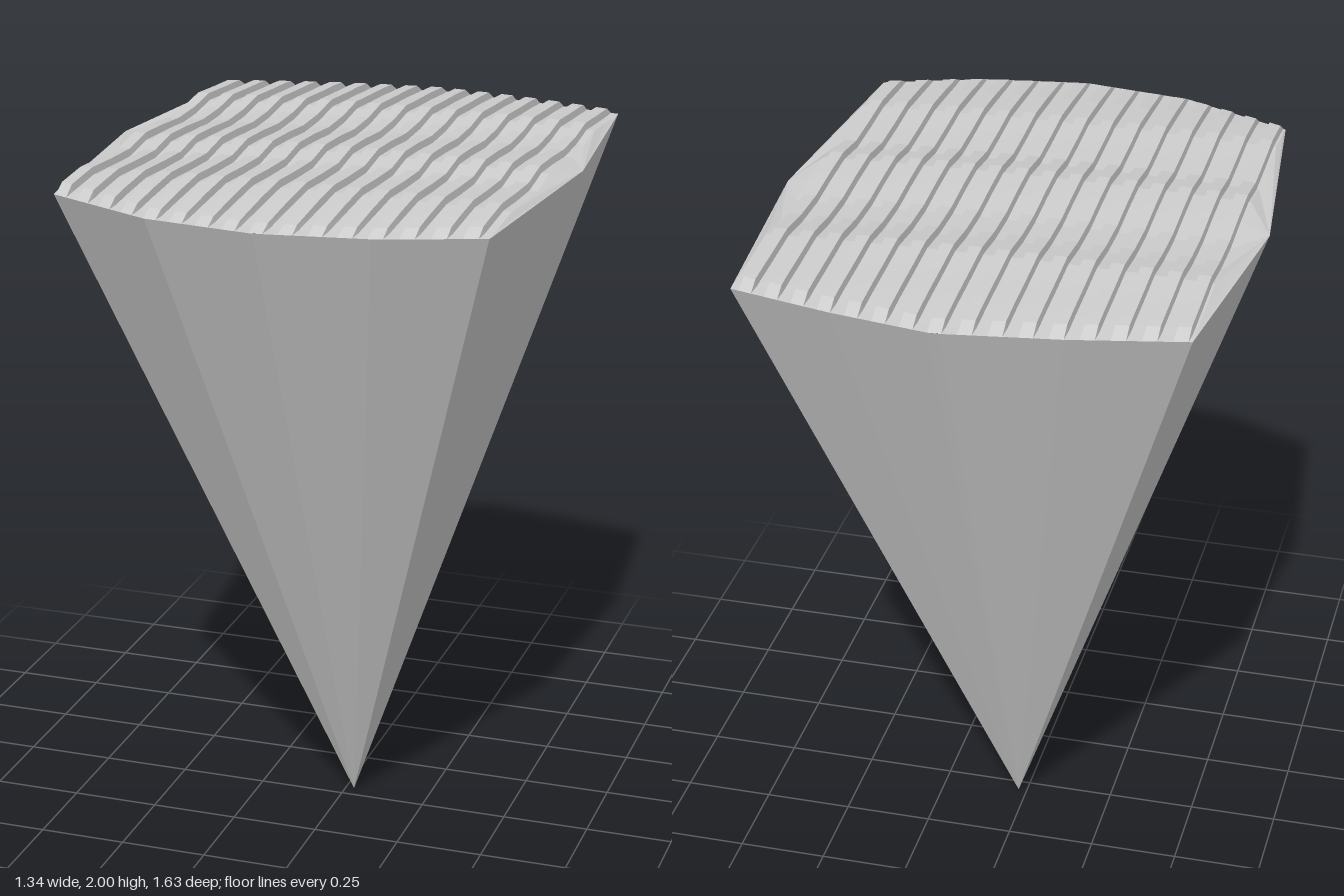
import * as THREE from 'three';

const RIM_Y = 1.95;
const APEX = [0.025, 0, -0.04];
// Rim outline as [x, z], each running from the right tip to the left tip
const LEFT_TIP = [-0.67, -0.07], RIGHT_TIP = [0.67, -0.05];
const BACK = [LEFT_TIP, [-0.592, -0.71], [-0.28, -0.775], [0.03, -0.82], [0.06, -0.82], [0.33, -0.775], [0.61, -0.71], RIGHT_TIP];
const FRONT = [LEFT_TIP, [-0.592, 0.62], [-0.28, 0.765], [0.03, 0.81], [0.33, 0.765], [0.61, 0.67], RIGHT_TIP];
// Gentle waves of the ridge tops as [z, y]
const WAVES = [[-0.78, 1.972], [-0.66, 1.983], [-0.55, 1.99], [-0.42, 2], [-0.3, 1.986], [-0.17, 1.983], [-0.04, 1.994],
  [0.08, 2], [0.2, 1.983], [0.33, 1.988], [0.46, 1.996], [0.6, 1.985], [0.76, 1.967]];

// Linear lookup along a list of [position, value] pairs
function lookup(pairs, p) {
  if (p <= pairs[0][0]) return pairs[0][1];
  for (let i = 1; i < pairs.length; i++) {
    const [p0, v0] = pairs[i - 1], [p1, v1] = pairs[i];
    if (p <= p1) return v0 + (v1 - v0) * (p - p0) / (p1 - p0);
  }
  return pairs[pairs.length - 1][1];
}

function meshFromTriangles(name, triangles) {
  const triangle = new THREE.Triangle();
  const kept = triangles.filter((t) => {
    triangle.set(...t.map((p) => new THREE.Vector3(...p)));
    return triangle.getArea() > 1e-8;
  });
  const geometry = new THREE.BufferGeometry();
  geometry.setAttribute('position', new THREE.Float32BufferAttribute(kept.flat(2), 3));
  geometry.computeVertexNormals();
  const mesh = new THREE.Mesh(geometry, new THREE.MeshStandardMaterial({ color: 0xcccccc, flatShading: true }));
  mesh.name = name;
  return mesh;
}

// Faceted walls tapering from the rim to a point
function createWalls() {
  const rim = [...FRONT, ...BACK.slice(1, -1).reverse()].map(([x, z]) => [x, RIM_Y, z]);
  return meshFromTriangles('taperedWalls', rim.map((p, i) => [p, APEX, rim[(i + 1) % rim.length]]));
}

// Wavy top with parallel ridges running front to back
function createRidgedTop() {
  const columns = [[-0.67, 0], [-0.592, 0]];
  for (let i = 0; i < 16; i++) {
    const x = -0.565 + i * 0.0755;
    columns.push([x - 0.02, 0], [x - 0.017, 1], [x + 0.017, 1], [x + 0.02, 0]);
  }
  columns.push([0.61, 0], [0.67, 0]);

  const grid = columns.map(([x, raised]) => {
    const back = lookup(BACK, x), front = lookup(FRONT, x);
    if (front - back < 0.1) return Array(WAVES.length + 2).fill([x, RIM_Y, back]);
    const inner = WAVES.map(([waveZ]) => {
      const z = THREE.MathUtils.clamp(waveZ, back + 0.04, front - 0.04);
      const y = lookup(WAVES, z) - 0.03 * x * x - (raised ? 0 : 0.02);
      return [x, Math.max(y, RIM_Y + 0.002), z];
    });
    return [[x, RIM_Y, back], ...inner, [x, RIM_Y, front]];
  });

  const triangles = [];
  for (let i = 0; i < grid.length - 1; i++) {
    for (let j = 0; j < grid[i].length - 1; j++) {
      const a = grid[i][j], b = grid[i + 1][j], c = grid[i][j + 1], d = grid[i + 1][j + 1];
      triangles.push([a, c, b], [b, c, d]);
    }
  }
  return meshFromTriangles('ridgedTop', triangles);
}

export function createModel() {
  const model = new THREE.Group();
  model.name = 'ridgedWedge';
  model.add(createWalls(), createRidgedTop());
  return model;
}
